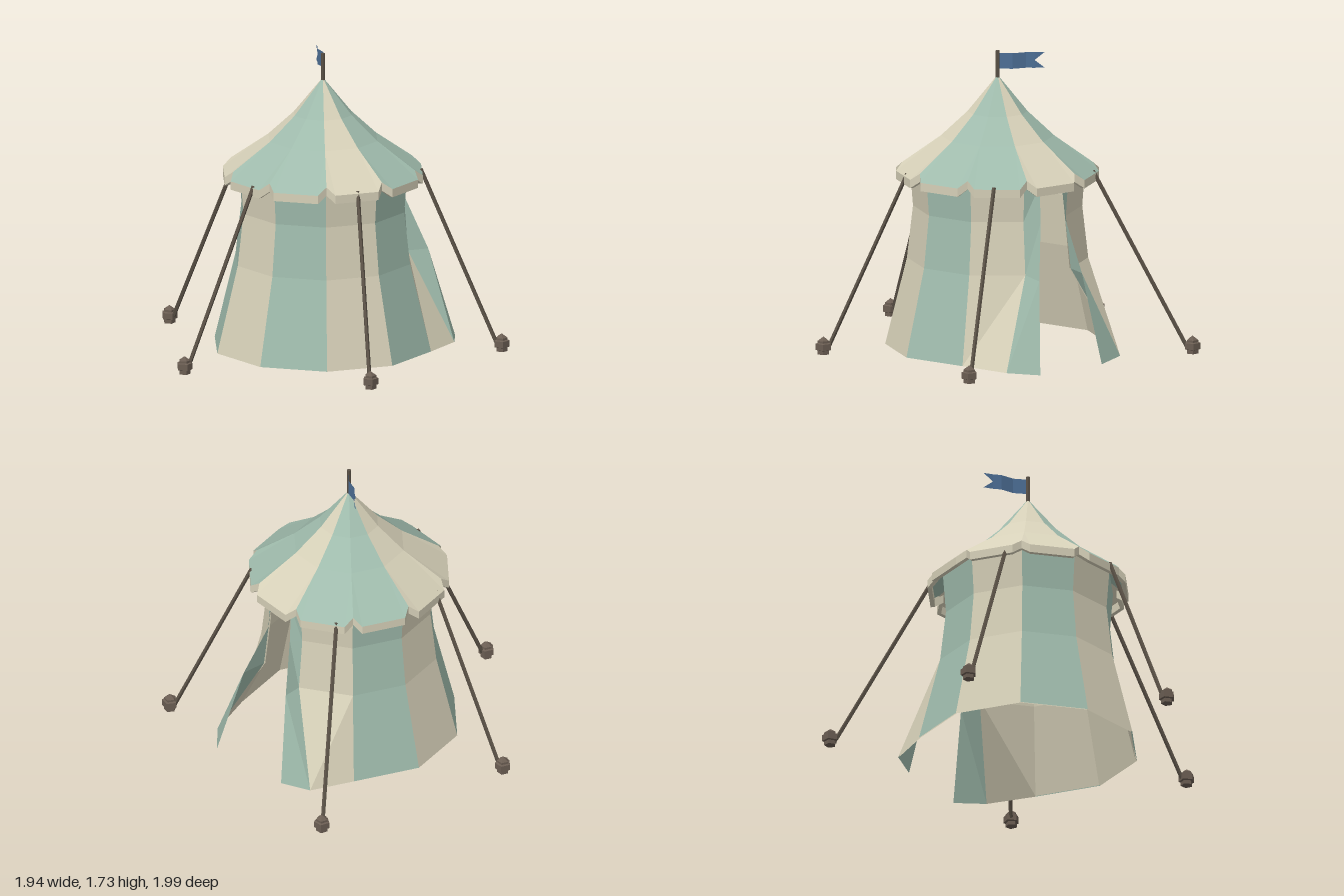
import * as THREE from 'three';

const mat = (name, color) => {
  const m = new THREE.MeshStandardMaterial({ color, side: THREE.DoubleSide, flatShading: true });
  m.name = name;
  return m;
};

const SIDES = 10, STEP = 36, START = 10.6; // degrees, measured from +z towards +x
const CX = 0.057, CZ = -0.052;

// point around the tent axis
const ring = (deg, r, y) => {
  const a = THREE.MathUtils.degToRad(deg);
  return [CX + r * Math.sin(a), y, CZ + r * Math.cos(a)];
};

// unshared triangles so that every facet stays flat
function facets(tris) {
  const g = new THREE.BufferGeometry();
  g.setAttribute('position', new THREE.Float32BufferAttribute(tris.flat(2), 3));
  g.computeVertexNormals();
  return g;
}
const quad = (a, b, c, d) => [[a, b, c], [a, c, d]];

// surface between two or more point columns
function sheet(columns) {
  const tris = [];
  for (let i = 0; i + 1 < columns.length; i++) {
    const p = columns[i], q = columns[i + 1];
    for (let j = 0; j + 1 < p.length; j++) tris.push(...quad(p[j], q[j], q[j + 1], p[j + 1]));
  }
  return tris;
}

export function createModel() {
  const model = new THREE.Group();
  const cream = mat('cream canvas', 0xd6d0b8);
  const green = mat('green canvas', 0x9fbbac);
  const wood = mat('dark wood', 0x5a5146);
  const stakeMat = mat('stake wood', 0x6b5e53);
  const blue = mat('blue cloth', 0x4d6f96);

  const add = (name, geo, material, parent = model) => {
    const m = new THREE.Mesh(geo, material);
    m.name = name;
    parent.add(m);
    return m;
  };

  // Wall: alternating panels, with the back panel open as a doorway
  const wallProfile = [[0.635, 0.03], [0.512, 0.53], [0.478, 0.83], [0.495, 1.05]];
  const column = (deg, inset = 0) => wallProfile.map(([r, y]) => ring(deg, r - inset, y));
  const DOOR = 4; // panel between corners 4 and 5
  const doorBottom = { 4: [0.53, 0.02, -0.63], 5: [-0.275, 0.015, -0.71] };
  const wallColumn = (k, inset) => {
    const c = column(START + k * STEP, inset);
    if (doorBottom[k]) {
      const [x, y, z] = doorBottom[k];
      c[0] = [x, y, z + inset];
    }
    return c;
  };
  const wall = new THREE.Group();
  wall.name = 'wall';
  model.add(wall);
  const lining = [];
  for (let k = 0; k < SIDES; k++) {
    if (k === DOOR) continue;
    const next = (k + 1) % SIDES;
    add('wallPanel', facets(sheet([wallColumn(k, 0), wallColumn(next, 0)])), k % 2 ? cream : green, wall);
    lining.push(...sheet([wallColumn(k, 0.008), wallColumn(next, 0.008)]));
  }
  add('wallLining', facets(lining), cream, wall);

  // Door flaps, pulled outwards at the foot
  const flapEdges = {
    4: [[0.4, 0.01, -0.77], [0.3, 0.52, -0.655], [0.2, 0.83, -0.56], [0.19, 1.04, -0.54]],
    5: [[-0.09, 0, -0.755], [-0.03, 0.52, -0.655], [0.02, 0.83, -0.57], [0.03, 1.04, -0.55]],
  };
  for (const k of [4, 5]) {
    add('doorFlap', facets(sheet([wallColumn(k, 0), flapEdges[k]])), green);
  }

  // Roof: ten sectors, every third one cream, with notched eaves
  const roof = new THREE.Group();
  roof.name = 'roof';
  model.add(roof);
  const roofProfile = [[0.004, 1.58], [0.17, 1.375], [0.32, 1.235]];
  const valance = [];
  for (let i = 0; i < SIDES; i++) {
    const a = START + (i - 2) * STEP, b = a + STEP;
    const left = roofProfile.map(([r, y]) => ring(a, r, y));
    const right = roofProfile.map(([r, y]) => ring(b, r, y));
    const eave = inset => [
      ring(a, 0.54 - inset, 1.08), ring(a + 5, 0.575 - inset, 1.04),
      ring(b - 5, 0.575 - inset, 1.04), ring(b, 0.54 - inset, 1.08),
    ];
    const e = eave(0), inner = eave(0.025);
    const L = left[2], R = right[2];
    const tris = [...sheet([left, right]), [L, e[0], e[1]], ...quad(L, e[1], e[2], R), [R, e[2], e[3]]];
    add('roofSector', facets(tris), i % 3 === 0 ? cream : green, roof);

    // Hanging band along the eave
    const drop = p => [p[0], p[1] - 0.048, p[2]];
    valance.push(...sheet(e.map((p, j) => [p, drop(p), drop(inner[j]), inner[j]])));
  }
  add('valance', facets(valance), cream, roof);

  // Pole
  const pole = add('pole', new THREE.CylinderGeometry(0.012, 0.012, 0.24, 6), wood);
  pole.position.set(CX, 1.605, CZ);

  // Swallow-tailed pennant
  const path = [[CX, CZ], [0, -0.115], [-0.075, -0.145], [-0.11, -0.18], [-0.155, -0.215]];
  const at = (i, y) => [path[i][0], y, path[i][1]];
  const flagTris = sheet([0, 1, 2, 3].map(i => [at(i, 1.62), at(i, 1.665), at(i, 1.71)]));
  flagTris.push([at(3, 1.665), at(4, 1.71), at(3, 1.71)], [at(3, 1.62), at(4, 1.62), at(3, 1.665)]);
  add('flag', facets(flagTris), blue);

  // Stakes and guy ropes: [stake x, stake z, eave x, eave z]
  const guys = [
    [-0.605, -0.955, -0.27, -0.49], [0.86, -0.675, 0.45, -0.44], [-0.93, 0.18, -0.45, 0.128],
    [0.93, 0.455, 0.55, 0.17], [-0.055, 0.95, 0.05, 0.5],
  ];
  const stakeProfile = [[0, 0.02], [0.034, 0.02], [0.034, 0.042], [0.046, 0.046], [0.046, 0.082],
    [0.034, 0.086], [0.034, 0.098], [0, 0.122]].map(p => new THREE.Vector2(...p));
  for (const [x, z, ex, ez] of guys) {
    const stake = add('stake', new THREE.LatheGeometry(stakeProfile, 5), stakeMat);
    stake.position.set(x, 0, z);
    stake.rotation.y = Math.atan2(x - CX, z - CZ);

    const from = new THREE.Vector3(x, 0.06, z).lerp(new THREE.Vector3(ex, 0.06, ez), 0.06);
    const to = new THREE.Vector3(ex, 1.05, ez);
    const dir = to.clone().sub(from);
    const rope = add('guyRope', new THREE.CylinderGeometry(0.012, 0.012, dir.length(), 5), wood);
    rope.position.copy(from).addScaledVector(dir, 0.5);
    rope.quaternion.setFromUnitVectors(new THREE.Vector3(0, 1, 0), dir.normalize());
  }
  return model;
}
